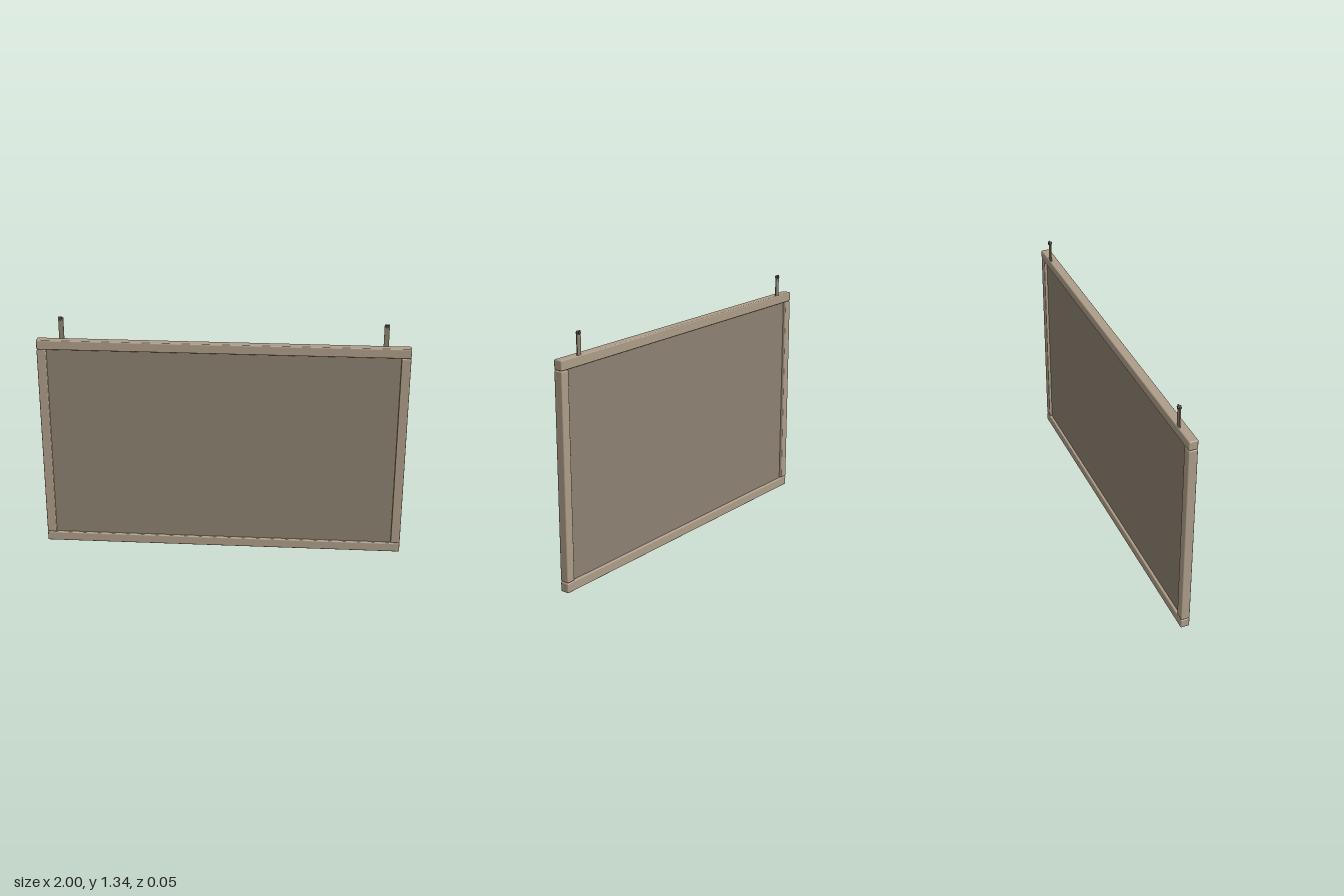
import * as THREE from 'three';
import { RoundedBoxGeometry } from 'three/addons/geometries/RoundedBoxGeometry.js';

const W = 2, DEPTH = 0.05, BAR = 0.053, TOP = 1.214;

export function createModel() {
  const group = new THREE.Group();
  const wood = new THREE.MeshStandardMaterial({ color: 0xad9d89 });
  const panelMat = new THREE.MeshStandardMaterial({ color: 0x8c8071 });
  const metal = new THREE.MeshStandardMaterial({ color: 0x8c8071 });
  const dark = new THREE.MeshStandardMaterial({ color: 0x4a443c });

  const add = (name, geometry, material, x, y, z) => {
    const mesh = new THREE.Mesh(geometry, material);
    mesh.name = name;
    mesh.position.set(x, y, z);
    group.add(mesh);
    return mesh;
  };

  // Full-width rails with softened edges
  const rail = new RoundedBoxGeometry(W, BAR, DEPTH, 2, 0.006);
  add('bottomRail', rail, wood, 0, BAR / 2, 0);
  add('topRail', rail, wood, 0, TOP - BAR / 2, 0);

  // Recessed board, let into the frame
  add('panel', new THREE.BoxGeometry(W - 0.08, TOP - 0.08, 0.02), panelMat, 0, TOP / 2, 0);

  // Stiles between the rails, and a hanger strap with its pin on each side
  const stileHeight = TOP - 2 * BAR - 0.004;
  const stile = new RoundedBoxGeometry(0.051, stileHeight, DEPTH, 2, 0.006);
  const strap = new THREE.BoxGeometry(0.027, 0.155, 0.006);
  const pin = new THREE.CylinderGeometry(0.009, 0.009, 0.018, 16).rotateX(Math.PI / 2);
  for (const [side, s] of [['left', 1], ['right', -1]]) {
    add(side + 'Stile', stile, wood, s * (W / 2 - 0.0255), TOP / 2, 0);
    add(side + 'HangerStrap', strap, metal, s * 0.866, 1.2575, -0.017);
    add(side + 'HangerPin', pin, dark, s * 0.866, 1.325, -0.017);
  }
  return group;
}
